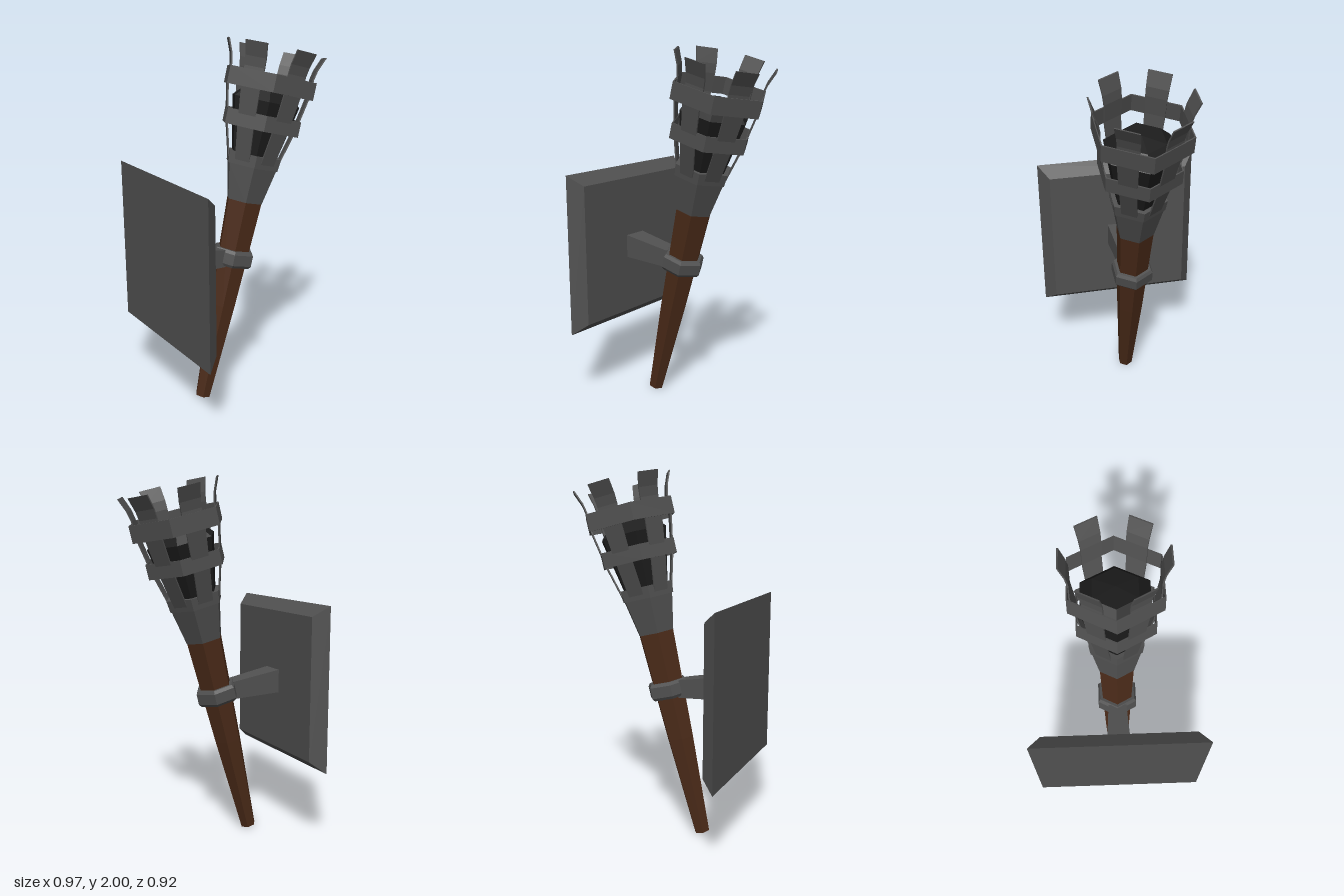
import * as THREE from 'three';

const mat = (color) => new THREE.MeshStandardMaterial({ color, flatShading: true });
const iron = mat(0x505050);
const wood = mat(0x4a2a18);
const soot = mat(0x1c1c1c);

function part(name, geometry, material, parent) {
  const mesh = new THREE.Mesh(geometry, material);
  mesh.name = name;
  parent.add(mesh);
  return mesh;
}

// Six-sided turned shape from [radius, height] pairs, corners on the x axis
function hexLathe(profile) {
  return new THREE.LatheGeometry(profile.map(([r, y]) => new THREE.Vector2(r, y)), 6, Math.PI / 2);
}

// Thin six-sided hoop
function hoop(r, bottom, top, thickness = 0.008) {
  const i = r - thickness;
  return hexLathe([[i, bottom], [r, bottom], [r, top], [i, top], [i, bottom]]);
}

// Tapered block along x; each end is { x, y0, y1, z }
function taperedBlock(a, b) {
  const g = new THREE.BoxGeometry(1, 1, 1);
  const p = g.attributes.position;
  for (let i = 0; i < p.count; i++) {
    const e = p.getX(i) < 0 ? a : b;
    p.setXYZ(i, e.x, p.getY(i) < 0 ? e.y0 : e.y1, Math.sign(p.getZ(i)) * e.z);
  }
  g.computeVertexNormals();
  return g;
}

// Bent metal strip from rows of [height, distance from axis, width]
function strapGeometry(rows) {
  const n = rows.length - 1;
  const g = new THREE.BoxGeometry(1, 1, 0.008, 1, n, 1);
  const p = g.attributes.position;
  for (let i = 0; i < p.count; i++) {
    const [y, d, w] = rows[Math.round((p.getY(i) + 0.5) * n)];
    p.setXYZ(i, p.getX(i) * w, y, d + p.getZ(i));
  }
  g.computeVertexNormals();
  return g;
}

export function createModel() {
  const model = new THREE.Group();
  model.name = 'wallTorch';

  // Wall plate with bevelled rim, and the arm reaching to the collar
  part('wallPlate', taperedBlock(
    { x: -0.485, y0: 0.42, y1: 1.33, z: 0.46 },
    { x: -0.41, y0: 0.48, y1: 1.27, z: 0.4 }), iron, model);
  part('arm', taperedBlock(
    { x: -0.42, y0: 0.805, y1: 0.937, z: 0.069 },
    { x: -0.13, y0: 0.787, y1: 0.885, z: 0.05 }), iron, model);

  // Everything on the leaning torch axis
  const torch = new THREE.Group();
  torch.name = 'torch';
  torch.position.set(-0.257, 0.017, 0);
  torch.rotation.z = -THREE.MathUtils.degToRad(14.3);
  model.add(torch);

  part('handle', hexLathe([[0, 0], [0.043, 0], [0.077, 0.55], [0.105, 1.154], [0, 1.154]]), wood, torch);
  part('collar', hexLathe([
    [0.08, 0.785], [0.11, 0.785], [0.122, 0.8], [0.122, 0.86], [0.11, 0.877], [0.08, 0.877],
  ]), iron, torch);

  // Flared socket with a raised lip
  part('socket', hexLathe([
    [0.09, 1.15], [0.106, 1.15], [0.148, 1.345], [0.155, 1.345], [0.163, 1.41], [0.12, 1.41],
  ]), iron, torch);

  // Charred core inside the basket
  part('core', hexLathe([[0.13, 1.38], [0.2, 1.7], [0.13, 1.765], [0, 1.78]]), soot, torch);

  // Hoops around the basket
  part('lowerHoop', hoop(0.228, 1.547, 1.63), iron, torch);
  part('upperHoop', hoop(0.266, 1.752, 1.845), iron, torch);

  // Six upright straps, one on each flat side
  const strap = strapGeometry([
    [1.37, 0.134, 0.085], [1.56, 0.184, 0.095], [1.76, 0.22, 0.11],
    [1.86, 0.222, 0.115], [1.91, 0.232, 0.12], [1.985, 0.262, 0.126],
  ]);
  for (let k = 0; k < 6; k++) {
    part('strap', strap, iron, torch).rotation.y = k * Math.PI / 3;
  }
  return model;
}
